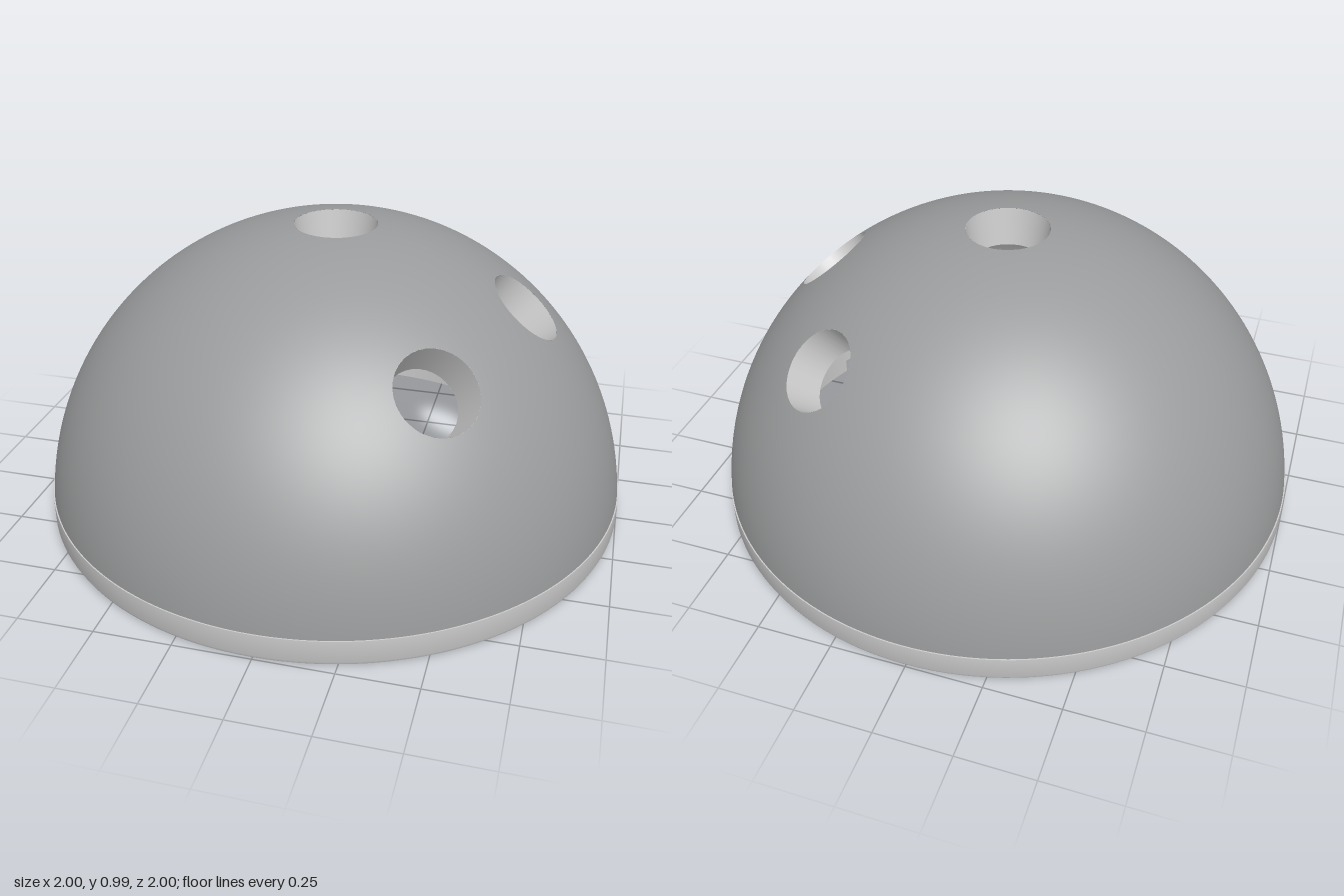
import * as THREE from 'three';
import { toCreasedNormals } from 'three/addons/utils/BufferGeometryUtils.js';

const OUTER = 1, INNER = 0.87;          // dome radii
const HOLE_TOP = 0.138, HOLE_LOW = 0.12; // hole radii at outer and inner skin
const RIM = 0.875, NOTCH = 0.93;         // inner radius of the rim and of its notches
const BAND_Y = 0.09, NOTCH_Y = 0.1, LEDGE_Y = 0.17;

// Unit direction from a tilt off vertical and an azimuth from +x towards +z, in degrees
function direction(tilt, azimuth) {
  const t = THREE.MathUtils.degToRad(tilt), a = THREE.MathUtils.degToRad(azimuth);
  return new THREE.Vector3(Math.sin(t) * Math.cos(a), Math.cos(t), Math.sin(t) * Math.sin(a));
}

const holes = [direction(0, 0), direction(40, 0), direction(45, 51), direction(45, -51)];

// Spherical skin down to height yMin with round holes; inward turns the faces to the centre
function skin(radius, yMin, holeRadius, inward) {
  const rows = 72, cols = 216, limit = Math.asin(holeRadius / radius);
  const tMax = Math.acos(yMin / radius);
  const positions = [], normals = [], inside = [], index = [];
  for (let i = 0; i <= rows; i++) {
    for (let j = 0; j <= cols; j++) {
      const t = tMax * i / rows, p = 2 * Math.PI * j / cols;
      const v = new THREE.Vector3(Math.sin(t) * Math.cos(p), Math.cos(t), Math.sin(t) * Math.sin(p));
      let hit = -1;
      holes.forEach((h, k) => {
        const d = v.angleTo(h);
        if (d >= limit) return;
        hit = k;
        // Push points inside a hole out to its edge
        const side = v.clone().addScaledVector(h, -v.dot(h));
        if (side.length() > 1e-5) {
          side.normalize();
          v.copy(h).multiplyScalar(Math.cos(limit)).addScaledVector(side, Math.sin(limit));
        }
      });
      inside.push(hit);
      positions.push(v.x * radius, v.y * radius, v.z * radius);
      const s = inward ? -1 : 1;
      normals.push(v.x * s, v.y * s, v.z * s);
    }
  }
  const face = (a, b, c) => {
    if (inside[a] >= 0 && inside[b] >= 0 && inside[c] >= 0) return;
    if (inward) index.push(a, c, b);
    else index.push(a, b, c);
  };
  for (let i = 0; i < rows; i++) {
    for (let j = 0; j < cols; j++) {
      const a = i * (cols + 1) + j, b = a + cols + 1;
      face(a, a + 1, b);
      face(a + 1, b + 1, b);
    }
  }
  const g = new THREE.BufferGeometry();
  g.setAttribute('position', new THREE.Float32BufferAttribute(positions, 3));
  g.setAttribute('normal', new THREE.Float32BufferAttribute(normals, 3));
  g.setIndex(index);
  return g;
}

// Flat ring with the given opening, standing on y and rising by height
function ringLayer(outer, opening, y, height) {
  const shape = new THREE.Shape().absarc(0, 0, outer, 0, Math.PI * 2, false);
  shape.holes.push(opening);
  const g = new THREE.ExtrudeGeometry(shape, { depth: height, bevelEnabled: false, curveSegments: 144 });
  g.rotateX(-Math.PI / 2).translate(0, y, 0);
  return toCreasedNormals(g, 0.5);
}

export function createModel() {
  const model = new THREE.Group();
  model.name = 'dome';
  const grey = new THREE.MeshStandardMaterial({ color: 0x9a9b9c, side: THREE.DoubleSide });
  grey.name = 'mid grey';
  const light = new THREE.MeshStandardMaterial({ color: 0xcccccc, side: THREE.DoubleSide });
  light.name = 'light grey';
  const add = (name, geometry, material) => {
    const mesh = new THREE.Mesh(geometry, material);
    mesh.name = name;
    model.add(mesh);
    return mesh;
  };

  // Dome skins
  add('outerDome', skin(OUTER, BAND_Y, HOLE_TOP, false), grey);
  add('innerDome', skin(INNER, LEDGE_Y, HOLE_LOW, true), light);

  // Walls of the round holes, tapering slightly inwards
  const high = Math.sqrt(OUTER ** 2 - HOLE_TOP ** 2), low = Math.sqrt(INNER ** 2 - HOLE_LOW ** 2);
  const wall = new THREE.CylinderGeometry(HOLE_TOP, HOLE_LOW, high - low, 32, 1, true);
  wall.translate(0, (high + low) / 2, 0);
  for (const h of holes) {
    add('holeWall', wall, light).quaternion.setFromUnitVectors(new THREE.Vector3(0, 1, 0), h);
  }

  // Outer band with a softened lower edge
  const profile = [[0.984, 0], [0.995, 0.004], [1, 0.015], [1, BAND_Y], [0.995, BAND_Y]]
    .map(([x, y]) => new THREE.Vector2(x, y));
  add('outerBand', toCreasedNormals(new THREE.LatheGeometry(profile, 144).toNonIndexed(), 0.7), light);

  // Lower rim with twelve notches open to below
  const notched = new THREE.Path();
  const step = Math.PI / 6, half = 0.083;
  for (let i = 0; i < 12; i++) {
    const a = i * step + 0.05;
    notched.absarc(0, 0, NOTCH, a - half, a + half, false);
    notched.absarc(0, 0, RIM, a + half, a + step - half, false);
  }
  const rimShape = new THREE.Shape().absarc(0, 0, 0.985, 0, Math.PI * 2, false);
  rimShape.holes.push(notched);
  const rim = new THREE.ExtrudeGeometry(rimShape, { depth: NOTCH_Y, bevelEnabled: false, curveSegments: 24 });
  rim.rotateX(-Math.PI / 2);
  add('notchedRim', toCreasedNormals(rim, 0.5), light);

  // Plain rim above the notches and the ledge below the inner dome
  const round = new THREE.Path().absarc(0, 0, RIM, 0, Math.PI * 2, true);
  add('upperRim', ringLayer(0.96, round, NOTCH_Y, LEDGE_Y - NOTCH_Y), light);
  const ledge = new THREE.RingGeometry(Math.sqrt(INNER ** 2 - LEDGE_Y ** 2), RIM, 144);
  ledge.rotateX(Math.PI / 2).translate(0, LEDGE_Y, 0);
  add('innerLedge', ledge, light);

  return model;
}
